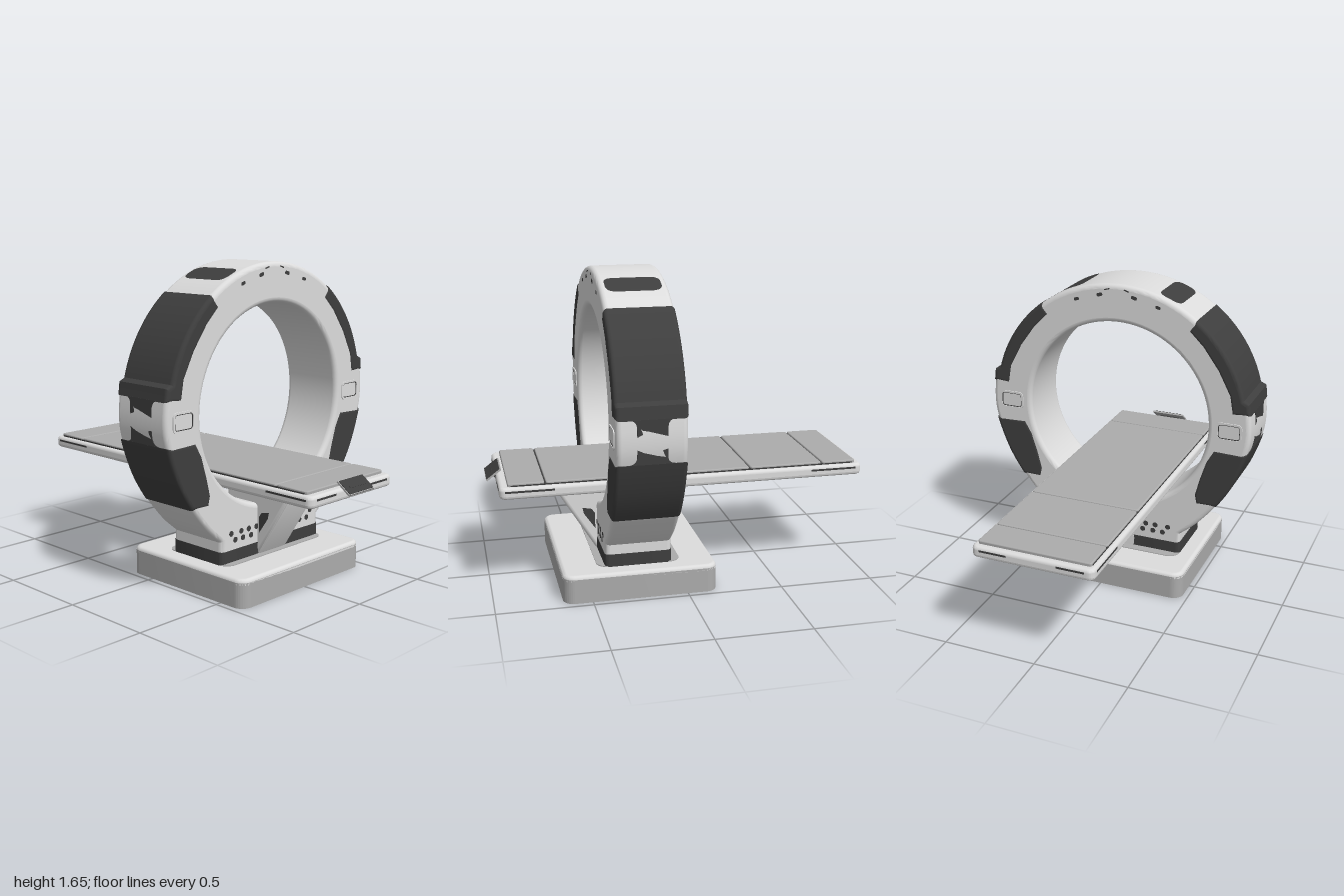
import * as THREE from 'three';
import { toCreasedNormals } from 'three/addons/utils/BufferGeometryUtils.js';

const mat = (name, color) => {
  const m = new THREE.MeshStandardMaterial({ color });
  m.name = name;
  return m;
};
const points = (list) => list.map((p) => new THREE.Vector2(...p));

// Keep caps and walls of an extrusion flat while its bevels stay smooth
function crispNormals(geo) {
  const pos = geo.attributes.position, nor = geo.attributes.normal;
  const tri = new THREE.Triangle(), face = new THREE.Vector3(), n = new THREE.Vector3();
  for (let i = 0; i < pos.count; i += 3) {
    tri.setFromAttributeAndIndices(pos, i, i + 1, i + 2).getNormal(face);
    const cap = Math.abs(face.z) > 0.999, wall = Math.abs(face.z) < 0.001;
    for (let k = i; k < i + 3 && (cap || wall); k++) {
      n.fromBufferAttribute(nor, k);
      if (cap) n.copy(face);
      else n.setZ(0).normalize();
      nor.setXYZ(k, n.x, n.y, n.z);
    }
  }
  return geo;
}

export function createModel() {
  const light = mat('light grey shell', 0xdcdcdc);
  const mid = mat('mid grey', 0xacacac);
  const dark = mat('charcoal', 0x3e3e3e);
  const model = new THREE.Group();
  model.name = 'ringScanner';

  const add = (name, geo, material, x = 0, y = 0, z = 0, parent = model) => {
    const mesh = new THREE.Mesh(geo, material);
    mesh.name = name;
    mesh.position.set(x, y, z);
    parent.add(mesh);
    return mesh;
  };
  // Extrusion from z = 0 to depth whose bevel stays inside the outline
  const slab = (shape, depth, bevel = 0) => {
    const geo = new THREE.ExtrudeGeometry(shape, {
      depth: depth - 2 * bevel, curveSegments: 48, bevelEnabled: bevel > 0,
      bevelThickness: bevel, bevelSize: bevel, bevelOffset: -bevel, bevelSegments: 4,
    });
    geo.translate(0, 0, bevel);
    return crispNormals(toCreasedNormals(geo, 0.6));
  };
  const roundRect = (w, h, r, S = THREE.Shape) => {
    const s = new S(), x = w / 2, y = h / 2;
    s.absarc(x - r, y - r, r, 0, Math.PI / 2);
    s.absarc(r - x, y - r, r, Math.PI / 2, Math.PI);
    s.absarc(r - x, r - y, r, Math.PI, Math.PI * 1.5);
    s.absarc(x - r, r - y, r, Math.PI * 1.5, Math.PI * 2);
    s.closePath();
    return s;
  };
  // Horizontal rounded slab standing on y = 0
  const flat = (w, d, r, h, bevel) => slab(roundRect(w, d, r), h, bevel).rotateX(-Math.PI / 2);

  // Base with a lighter softened top
  add('baseBody', flat(0.94, 0.81, 0.06, 0.13, 0), mid, 0, 0, 0.245);
  add('baseTop', flat(0.94, 0.81, 0.06, 0.05, 0.02), light, 0, 0.098, 0.245);
  add('footPlate', flat(0.76, 0.44, 0.06, 0.008, 0), mid, 0, 0.144, 0.24);

  // Right half of the ring outline, top to foot
  const CY = 0.925, R = 0.73, Z0 = 0.07, DEPTH = 0.35;
  const rim = [];
  for (let i = 0; i <= 40; i++) {
    const a = Math.PI / 2 - (i / 40) * (Math.PI / 2 - 0.255);
    rim.push(new THREE.Vector2(R * Math.cos(a), CY + R * Math.sin(a)));
  }
  rim.push(...new THREE.SplineCurve(points([
    [0.738, 1.094], [0.753, 0.932], [0.736, 0.805], [0.67, 0.626],
    [0.582, 0.481], [0.473, 0.35], [0.378, 0.267],
  ])).getPoints(40));
  const rimX = (y) => {
    const i = Math.max(1, rim.findIndex((p) => p.y <= y));
    const a = rim[i - 1], b = rim[i];
    return a.x + (b.x - a.x) * (a.y - y) / (a.y - b.y);
  };

  // Ring body with a round, soft-edged bore
  const half = [...rim, new THREE.Vector2(0.378, 0.14)];
  const left = half.slice(1).reverse().map((p) => new THREE.Vector2(-p.x, p.y));
  const ring = new THREE.Shape([...half, ...left]);
  ring.holes.push(new THREE.Path().absarc(0, 0.93, 0.52, 0, Math.PI * 2, false));
  add('ringBody', slab(ring, DEPTH, 0.025), light, 0, 0, Z0);
  add('ringSkirt', flat(0.762, 0.354, 0.025, 0.07, 0), dark, 0, 0.145, 0.245);

  // Dark shells wrapping the rim, given by y range and inner edge
  const panel = (name, side, top, bottom, inner) => {
    const e = 0.003;
    const outer = [new THREE.Vector2(rimX(top), top),
      ...rim.filter((p) => p.y < top - 0.005 && p.y > bottom + 0.005),
      new THREE.Vector2(rimX(bottom), bottom)];
    const pts = points([
      ...outer.map((p) => [p.x + e * p.x / R, p.y + e * (p.y - CY) / R]),
      ...inner,
    ].map(([x, y]) => [side * x, y]));
    add(name, slab(new THREE.Shape(pts), DEPTH + 2 * e, 0.02), dark, 0, 0, Z0 - e);
  };
  for (const side of [1, -1]) {
    panel('upperShell', side, 1.508, 1.028,
      [[0.645, 1.02], [0.627, 1.125], [0.56, 1.253], [0.475, 1.37], [0.392, 1.452]]);
    panel('lowerShell', side, 0.808, 0.476,
      [[0.465, 0.472], [0.452, 0.53], [0.477, 0.63], [0.512, 0.74], [0.555, 0.815]]);

    // Dark waisted bridge between the shells, bent to follow the rim
    const b = new THREE.Shape();
    b.moveTo(-0.115, -0.112);
    b.lineTo(0.115, -0.112);
    b.quadraticCurveTo(0.075, -0.11, 0.075, -0.07);
    b.lineTo(0.075, 0.07);
    b.quadraticCurveTo(0.075, 0.11, 0.115, 0.112);
    b.lineTo(-0.115, 0.112);
    b.quadraticCurveTo(-0.075, 0.11, -0.075, 0.07);
    b.lineTo(-0.075, -0.07);
    b.quadraticCurveTo(-0.075, -0.11, -0.115, -0.112);
    const bridge = slab(b, 0.02).rotateY(side * Math.PI / 2).translate(-side * 0.02, 0, 0);
    const bp = bridge.attributes.position;
    for (let i = 0; i < bp.count; i++) {
      bp.setX(i, bp.getX(i) + side * (rimX(0.92 + bp.getY(i)) + 0.004));
    }
    add('shellBridge', bridge, dark, 0, 0.92, 0.245);

    // Round-ended slot lying on the curve of the rim
    const slot = new THREE.PlaneGeometry(0.13, 2, 24, 1).rotateX(-Math.PI / 2);
    const sp = slot.attributes.position;
    for (let i = 0; i < sp.count; i++) {
      const u = sp.getX(i), a = side * 0.393 + u / R;
      const len = 0.0975 + Math.sqrt(Math.max(0, 0.045 ** 2 - Math.max(0, Math.abs(u) - 0.02) ** 2));
      sp.setXYZ(i, 0.733 * Math.sin(a), 0.733 * Math.cos(a), sp.getZ(i) * len);
    }
    slot.computeVertexNormals();
    add('rimSlot', slot, dark, 0, CY, 0.245);

    // Details repeated on both faces of the ring
    for (const face of [1, -1]) {
      const z = (t) => (face > 0 ? 0.418 : 0.072 - t);
      const frame = roundRect(0.142, 0.102, 0.025);
      frame.holes.push(roundRect(0.12, 0.08, 0.017, THREE.Path));
      add('controlFrame', slab(frame, 0.007), light, side * 0.638, 0.926, z(0.007));
      const groove = roundRect(0.122, 0.082, 0.017);
      groove.holes.push(roundRect(0.112, 0.072, 0.014, THREE.Path));
      add('controlGroove', slab(groove, 0.004), dark, side * 0.638, 0.926, z(0.004));

      const dots = [[0.31, 0.302], [0.236, 0.302], [0.18, 0.302], [0.122, 0.302],
        [0.28, 0.265], [0.223, 0.265], [0.162, 0.265]];
      for (const [x, y] of dots) {
        const vent = new THREE.CylinderGeometry(0.015, 0.015, 0.004, 12).rotateX(Math.PI / 2);
        add('ventHole', vent, dark, side * x, y, z(0.004) + 0.002);
      }
      for (const [x, y, w, h] of [[0.23, 1.557, 0.028, 0.016], [0.097, 1.594, 0.032, 0.018], [0.055, 1.627, 0.03, 0.006]]) {
        const mark = add('topMark', slab(roundRect(w, h, h * 0.4), 0.004), dark, side * x, y, z(0.004));
        mark.rotation.z = -side * 0.3;
      }
    }
  }

  // Sloping table support, and its foot showing at the rear
  const sup = new THREE.Shape(points([[-0.2, 0.14], [-0.42, 0.14], [-0.645, 0.505], [-0.645, 0.54], [-0.2, 0.54]]));
  add('tableSupport', slab(sup, 0.224, 0.02).rotateY(Math.PI / 2), light, -0.112, 0, 0);
  add('rearFoot', slab(roundRect(0.224, 0.12, 0.05), 0.006), light, 0, 0.185, 0.064);
  const inset = new THREE.Shape(points([[-0.43, 0.265], [-0.43, 0.35], [-0.447, 0.375], [-0.497, 0.385], [-0.49, 0.352]]));
  for (const side of [1, -1]) {
    add('supportInset', slab(inset, 0.004).rotateY(Math.PI / 2), dark, side > 0 ? 0.1095 : -0.1135, 0, 0);
  }

  // Table
  const table = new THREE.Group();
  table.name = 'table';
  model.add(table);
  add('tableBody', flat(0.65, 1.945, 0.035, 0.062, 0.018), light, 0, 0.533, -0.0275, table);
  add('cushionSeam', flat(0.602, 1.865, 0.02, 0.012, 0), dark, 0, 0.59, -0.0325, table);
  const cuts = [-0.97, -0.777, -0.375, 0.71, 0.905];
  for (let i = 0; i < 4; i++) {
    const len = cuts[i + 1] - cuts[i] - 0.008;
    add('cushion', flat(0.6, len, 0.012, 0.024, 0.006), mid, 0, 0.588, (cuts[i] + cuts[i + 1]) / 2, table);
  }
  // Dark slits along the table edges
  for (const side of [1, -1]) {
    for (const z of [0.79, -0.835]) {
      add('sideSlit', new THREE.BoxGeometry(0.004, 0.01, 0.25), dark, side * 0.324, 0.574, z, table);
    }
    for (const z of [0.944, -0.999]) {
      add('endSlit', new THREE.BoxGeometry(0.145, 0.01, 0.004), dark, side * 0.205, 0.574, z, table);
    }
  }

  // Tilted control screen at the front end
  const screen = new THREE.Group();
  screen.name = 'controlScreen';
  screen.position.set(0, 0.598, 0.957);
  screen.rotation.x = 0.65;
  model.add(screen);
  add('screenBack', new THREE.BoxGeometry(0.196, 0.009, 0.094), mid, 0, 0, 0, screen);
  add('screenFace', new THREE.BoxGeometry(0.186, 0.005, 0.086), dark, 0, 0.005, 0, screen);
  const arm = add('screenArm', new THREE.BoxGeometry(0.12, 0.012, 0.06), dark, 0, 0.58, 0.948);
  arm.rotation.x = -0.8;

  return model;
}
